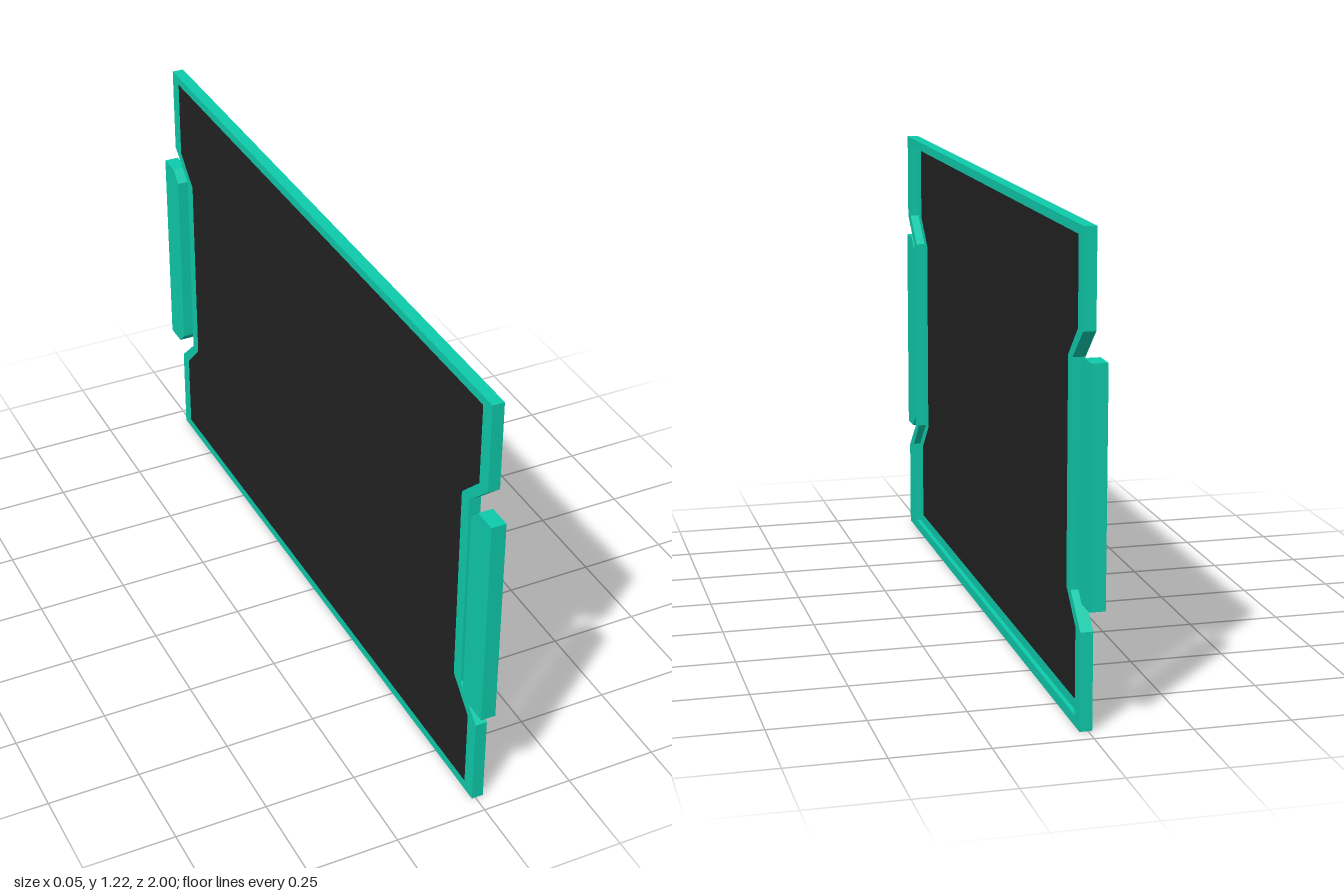
import * as THREE from 'three';

const BACK = -0.01, FRONT = 0.022;

// Notched outline, mirrored about the middle: half width, notch half width, bottom, top
function outline(w, n, bottom, top) {
  const half = [[w, bottom], [w, 0.25], [n, 0.33], [n, 0.9], [w, 0.977], [w, top]];
  const mirrored = half.map(([u, v]) => [-u, v]).reverse();
  return [...half, ...mirrored].map(([u, v]) => new THREE.Vector2(u, v));
}

// Turn a shape drawn in the xy plane so that it faces +x
const faceX = (geometry, x) => geometry.rotateY(Math.PI / 2).translate(x, 0, 0);

// Open band of flat quads around an outline
function wallGeometry(points, x0, x1) {
  const pos = [];
  points.forEach((a, i) => {
    const b = points[(i + 1) % points.length];
    pos.push(x0, a.y, -a.x, x0, b.y, -b.x, x1, b.y, -b.x);
    pos.push(x0, a.y, -a.x, x1, b.y, -b.x, x1, a.y, -a.x);
  });
  const g = new THREE.BufferGeometry();
  g.setAttribute('position', new THREE.Float32BufferAttribute(pos, 3));
  g.computeVertexNormals();
  return g;
}

export function createModel() {
  const group = new THREE.Group();
  const teal = new THREE.MeshStandardMaterial({ color: 0x0ecbab, side: THREE.DoubleSide });
  teal.name = 'teal';
  const black = new THREE.MeshStandardMaterial({ color: 0x222222, side: THREE.DoubleSide });
  black.name = 'black';

  const add = (name, geometry, material) => {
    const mesh = new THREE.Mesh(geometry, material);
    mesh.name = name;
    group.add(mesh);
    return mesh;
  };

  const outer = outline(0.95, 0.865, 0, 1.222);
  const inner = outline(0.908, 0.828, 0.027, 1.198);

  // Hollow frame: rim wall with a thin border on each face
  const border = new THREE.Shape(outer);
  border.holes.push(new THREE.Path(inner));
  add('frameWall', wallGeometry(outer, BACK, FRONT), teal);
  add('frontBorder', faceX(new THREE.ShapeGeometry(border), FRONT), teal);
  add('backBorder', faceX(new THREE.ShapeGeometry(border), BACK), teal);

  // Dark panel, set back level with the rear border
  add('panel', faceX(new THREE.ShapeGeometry(new THREE.Shape(inner)), BACK), black);

  // Side tabs sitting in the notches
  for (const [name, s] of [['frontTab', -1], ['rearTab', 1]]) {
    const pts = [[1, 0.315], [1, 0.912], [0.935, 0.912], [0.903, 0.88], [0.903, 0.347], [0.935, 0.315]];
    const shape = new THREE.Shape(pts.map(([u, v]) => new THREE.Vector2(s * u, v)));
    add(name, faceX(new THREE.ExtrudeGeometry(shape, { depth: 0.04, bevelEnabled: false }), -0.025), teal);
  }
  return group;
}
